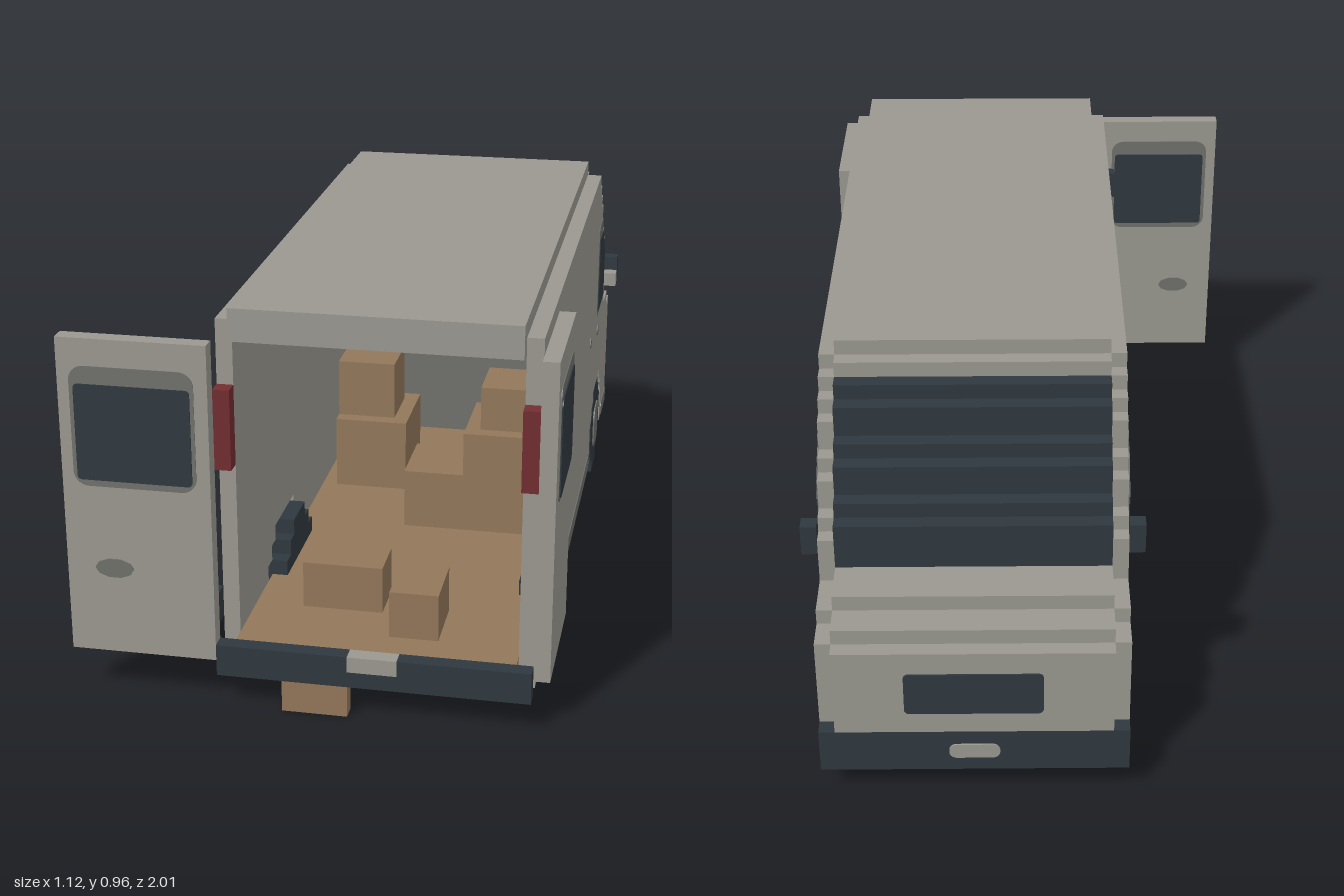
import * as THREE from 'three';

const U = 1 / 26; // block size
const mat = (name, color) => {
  const m = new THREE.MeshStandardMaterial({ color });
  m.name = name;
  return m;
};

export function createModel() {
  const van = new THREE.Group();
  van.name = 'deliveryVan';
  const paint = mat('bodyGrey', 0x9a9890);
  const trim = mat('trimGrey', 0x70716b);
  const dark = mat('darkSlate', 0x2f383f);
  const card = mat('cardboard', 0x927759);
  const red = mat('tailRed', 0x722d30);

  const X = (i) => (i - 14.5) * U; // column index to x

  const add = (name, geo, m) => {
    const mesh = new THREE.Mesh(geo, m);
    mesh.name = name;
    van.add(mesh);
    return mesh;
  };

  // Box given by block indices
  const block = (name, m, x0, x1, y0, y1, z0, z1) => {
    const mesh = add(name, new THREE.BoxGeometry((x1 - x0) * U, (y1 - y0) * U, (z1 - z0) * U), m);
    mesh.position.set(X((x0 + x1) / 2), (y0 + y1) * U / 2, (z0 + z1) * U / 2);
  };

  // Extruded outline centred at 'at'; axis x takes (z, y) outlines, axis z takes (x, y)
  const slab = (name, m, shape, axis, at, depth) => {
    const geo = new THREE.ExtrudeGeometry(shape, { depth, bevelEnabled: false, curveSegments: 5 });
    geo.translate(0, 0, -depth / 2);
    if (axis === 'x') geo.rotateY(-Math.PI / 2);
    add(name, geo, m).position[axis] = at;
  };

  const poly = (pts) => new THREE.Shape(pts.map(([a, b]) => new THREE.Vector2(a, b)));
  const rounded = (a0, a1, b0, b1, r) => {
    const s = new THREE.Shape();
    s.absarc(a1 - r, b0 + r, r, -Math.PI / 2, 0);
    s.absarc(a1 - r, b1 - r, r, 0, Math.PI / 2);
    s.absarc(a0 + r, b1 - r, r, Math.PI / 2, Math.PI);
    s.absarc(a0 + r, b0 + r, r, Math.PI, Math.PI * 1.5);
    return s;
  };
  const ellipse = (a, b, ra, rb) => new THREE.Shape().absellipse(a, b, ra, rb, 0, Math.PI * 2);

  // Heights of the stepped windscreen and bonnet: [rear z, front z, top]
  const steps = [
    [-13, -14, 24], [-14, -15, 23], [-15, -16, 22], [-16, -17, 20], [-17, -18, 19],
    [-18, -19, 17], [-19, -20, 16], [-20, -23, 13], [-23, -25, 12],
  ];

  // Side walls with stepped wheel arches
  const arch = (c) => [[-4.5, 2], [-4.5, 5], [-3.5, 5], [-3.5, 6], [-2.5, 6], [-2.5, 7],
    [2.5, 7], [2.5, 6], [3.5, 6], [3.5, 5], [4.5, 5], [4.5, 2]].map(([z, y]) => [c + z, y]);
  const wall = [[-25, 2], ...arch(-15.5), ...arch(12.5), [24, 2], [24, 24], [-13, 24]];
  steps.forEach(([a, b, top]) => wall.push([a, top - 1], [b, top - 1]));
  const wallShape = poly(wall.map(([z, y]) => [z * U, y * U]));
  for (const i of [9.5, 27.5]) slab('sideWall', paint, wallShape, 'x', X(i), U);

  // Roof, floor and partition behind the cab
  block('roof', paint, 10, 27, 24, 25, -13, 25);
  block('rearHeader', paint, 10, 27, 23, 24, 24, 25);
  block('underbody', trim, 10, 27, 2, 3, -25, 25);
  block('cargoFloor', card, 10, 27, 3, 4, -11, 25);
  block('partition', trim, 10, 27, 3, 24, -13, -11);

  // Windscreen and bonnet columns
  for (const [a, b, top] of steps) {
    const glass = a <= -14 && a > -20;
    block('cabCore', paint, 10, 27, 3, glass ? 12 : top, b, a);
    if (glass) block('windscreen', dark, 10, 27, 12, top, b, a);
  }

  // Nose, grille and front bumper
  block('nose', paint, 10, 27, 5, 11, -26, -25);
  block('frontBumper', dark, 9, 28, 2, 5, -26, -25);
  const mid = X(18.5);
  slab('grille', dark, rounded(mid - 0.162, mid + 0.162, 0.25, 0.365, 0.012), 'z', -1, 0.008);
  slab('frontPlate', paint, rounded(mid - 0.06, mid + 0.06, 0.115, 0.155, 0.018), 'z', -1, 0.008);

  // Rear bumper with number plate block, and step below
  block('rearBumper', dark, 9, 28, 2, 3, 25, 26);
  block('rearBumper', dark, 9, 17, 3, 4, 25, 26);
  block('rearPlate', paint, 17, 20, 3, 4, 25, 26);
  block('rearBumper', dark, 20, 28, 3, 4, 25, 26);
  block('rearStep', card, 13, 17, 0, 2, 25, 26);

  // Wheels with hubs
  for (const c of [12.5, -15.5]) {
    for (const i of [9, 26]) {
      for (const [half, y0, y1] of [[1.5, 0, 7], [2.5, 1, 6], [3.5, 2, 5]]) {
        block('wheel', dark, i, i + 2, y0, y1, c - half, c + half);
      }
      const z = c * U;
      slab('hub', trim, rounded(z - 0.06, z + 0.06, 0.075, 0.195, 0.03), 'x', X(i === 9 ? 9 : 28), 0.008);
    }
  }

  // Details on both sides
  const cabWindow = [[-0.515, 0.515], [-0.515, 0.73], [-0.605, 0.73], [-0.65, 0.685],
    [-0.688, 0.64], [-0.688, 0.515]];
  const cabFrame = [[-0.5, 0.5], [-0.5, 0.76], [-0.515, 0.77], [-0.613, 0.768], [-0.613, 0.73],
    [-0.652, 0.73], [-0.652, 0.69], [-0.69, 0.69], [-0.69, 0.5]];
  for (const [i, inner] of [[9, 10.05], [28, 26.95]]) {
    slab('cabWindowFrame', trim, poly(cabFrame), 'x', X(i), 0.004);
    slab('cabWindow', dark, poly(cabWindow), 'x', X(i), 0.009);
    slab('doorHandle', trim, ellipse(-0.32, 0.485, 0.016, 0.016), 'x', X(i), 0.006);
    slab('doorHandle', trim, ellipse(-0.555, 0.445, 0.016, 0.016), 'x', X(i), 0.006);
    for (const [a, b] of [[-0.38, 0.28], [0.67, 0.9], [-0.96, -0.8]]) {
      slab('sill', trim, rounded(a, b, 0.078, 0.12, 0.015), 'x', X(i), 0.005);
    }
    slab('archLining', trim, rounded(-0.768, -0.425, 0.08, 0.268, 0.005), 'x', X(inner), 0.008);
  }

  // Mirrors and tail lights
  for (const i of [8, 28]) {
    block('mirror', dark, i, i + 1, 14, 16, -20, -19);
    block('mirrorArm', paint, i, i + 1, 14, 15, -19, -18);
  }
  for (const i of [9, 27]) block('tailLight', red, i, i + 1, 15, 20, 24, 25);

  // Left-hand rear door standing open, with hinges
  block('openDoor', paint, 0, 9, 3, 23, 25, 26);
  const dz = 25.5 * U;
  slab('doorWindowFrame', trim, rounded(-0.53, -0.243, 0.532, 0.82, 0.035), 'z', dz, U + 0.004);
  slab('doorWindow', dark, rounded(-0.52, -0.252, 0.548, 0.778, 0.01), 'z', dz, U + 0.01);
  slab('rearDoorHandle', trim, ellipse(-0.445, 0.33, 0.046, 0.024), 'z', dz, U + 0.006);
  block('hinge', dark, 8, 9, 17, 19, 24, 25);
  block('hinge', dark, 8, 9, 5, 7, 24, 25);

  // Other rear door folded flat against the side
  block('foldedDoor', paint, 28, 29, 3, 23, 16, 25);
  slab('doorWindowFrame', trim, rounded(0.65, 0.922, 0.535, 0.81, 0.03), 'x', X(28.5), U + 0.004);
  slab('doorWindow', dark, rounded(0.66, 0.913, 0.545, 0.78, 0.02), 'x', X(28.5), U + 0.01);

  // Parcels in the cargo bay
  const parcels = [
    [11, 16, 4, 9, -5, 1], [11, 15, 9, 13, -4, 0], [13, 18, 4, 7, 17, 20], [17, 21, 4, 8, 2, 7],
    [19, 22, 4, 7, 19, 23], [21, 26, 4, 11, 1, 7], [22, 25, 11, 14, 2, 6],
  ];
  for (const p of parcels) block('parcel', card, ...p);

  return van;
}
